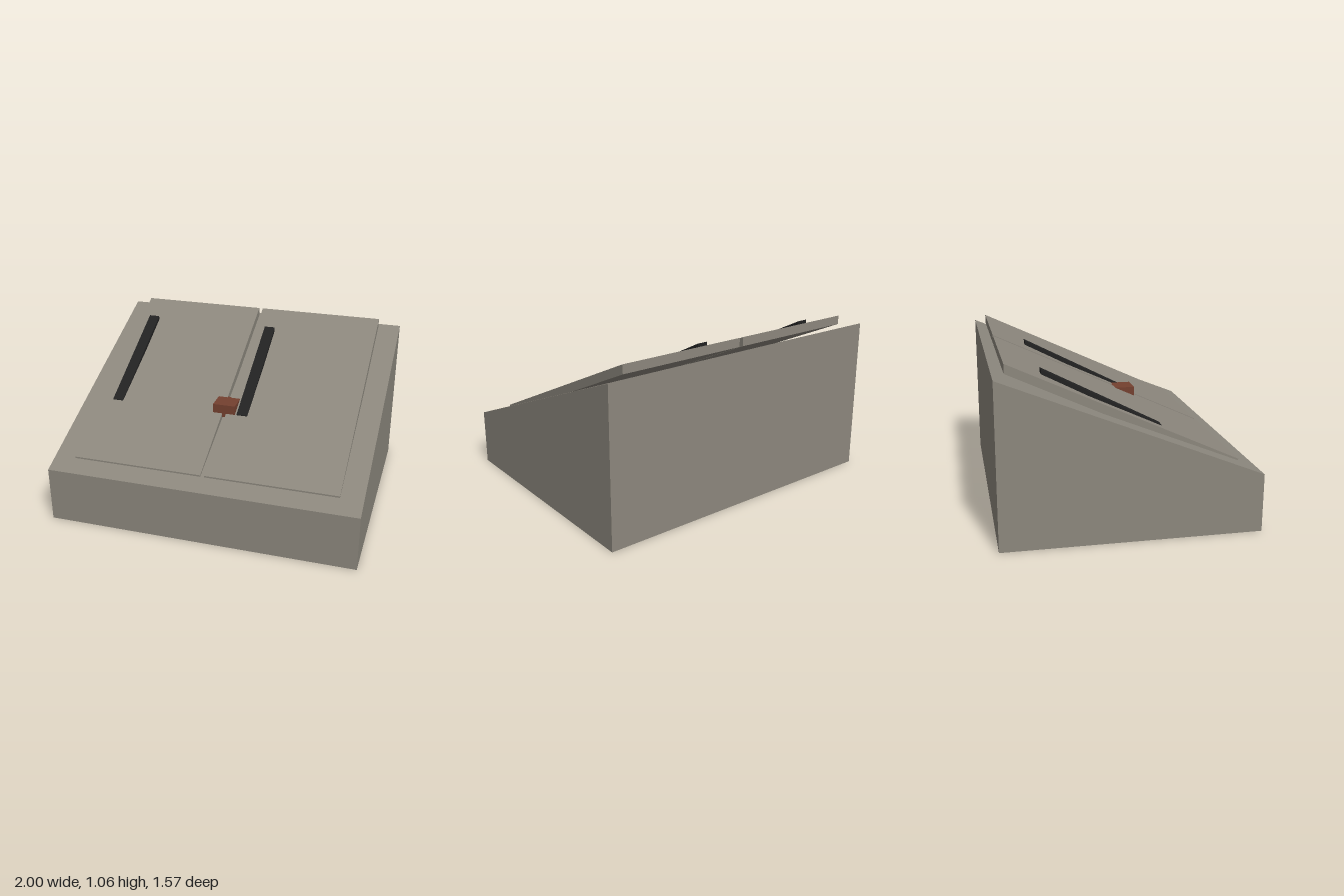
import * as THREE from 'three';

const stone = new THREE.MeshStandardMaterial({ color: 0x8c877d });
stone.name = 'weathered grey';
const iron = new THREE.MeshStandardMaterial({ color: 0x222222 });
iron.name = 'black iron';
const rust = new THREE.MeshStandardMaterial({ color: 0x74402f });
rust.name = 'rusty brown';

// Extrudes a side profile of [z, y] points across x, from x0 to x1
function sideProfile(name, points, x0, x1, material) {
  const shape = new THREE.Shape(points.map(([z, y]) => new THREE.Vector2(z, y)));
  const geometry = new THREE.ExtrudeGeometry(shape, { depth: x1 - x0, bevelEnabled: false });
  geometry.rotateY(-Math.PI / 2);
  geometry.translate(x1, 0, 0);
  const mesh = new THREE.Mesh(geometry, material);
  mesh.name = name;
  return mesh;
}

// Sloping slab with upright ends, given its top edge and vertical thickness
const slab = (zFront, yFront, zBack, yBack, t) => [
  [zFront, yFront - t], [zFront, yFront], [zBack, yBack], [zBack, yBack - t],
];

export function createModel() {
  const group = new THREE.Group();
  group.name = 'cellarHatch';

  // Wedge-shaped base
  group.add(sideProfile('base', [[0.785, 0], [0.785, 0.36], [-0.785, 1], [-0.785, 0]], -1, 1, stone));

  // Two door leaves, tilted slightly steeper than the base
  const leaf = slab(0.67, 0.417, -0.715, 1.06, 0.057);
  group.add(sideProfile('rightDoor', leaf, -0.86, -0.013, stone));
  group.add(sideProfile('leftDoor', leaf, 0.013, 0.857, stone));

  // Iron bar near the same edge of each leaf
  const bar = slab(0.21, 0.635, -0.5, 1, 0.026);
  group.add(sideProfile('rightBar', bar, -0.787, -0.715, iron));
  group.add(sideProfile('leftBar', bar, 0.085, 0.157, iron));

  // Lock block across the gap
  const lock = new THREE.Mesh(new THREE.BoxGeometry(0.148, 0.085, 0.14), rust);
  lock.position.set(-0.001, 0.6475, 0.14);
  lock.name = 'lock';
  group.add(lock);

  return group;
}
